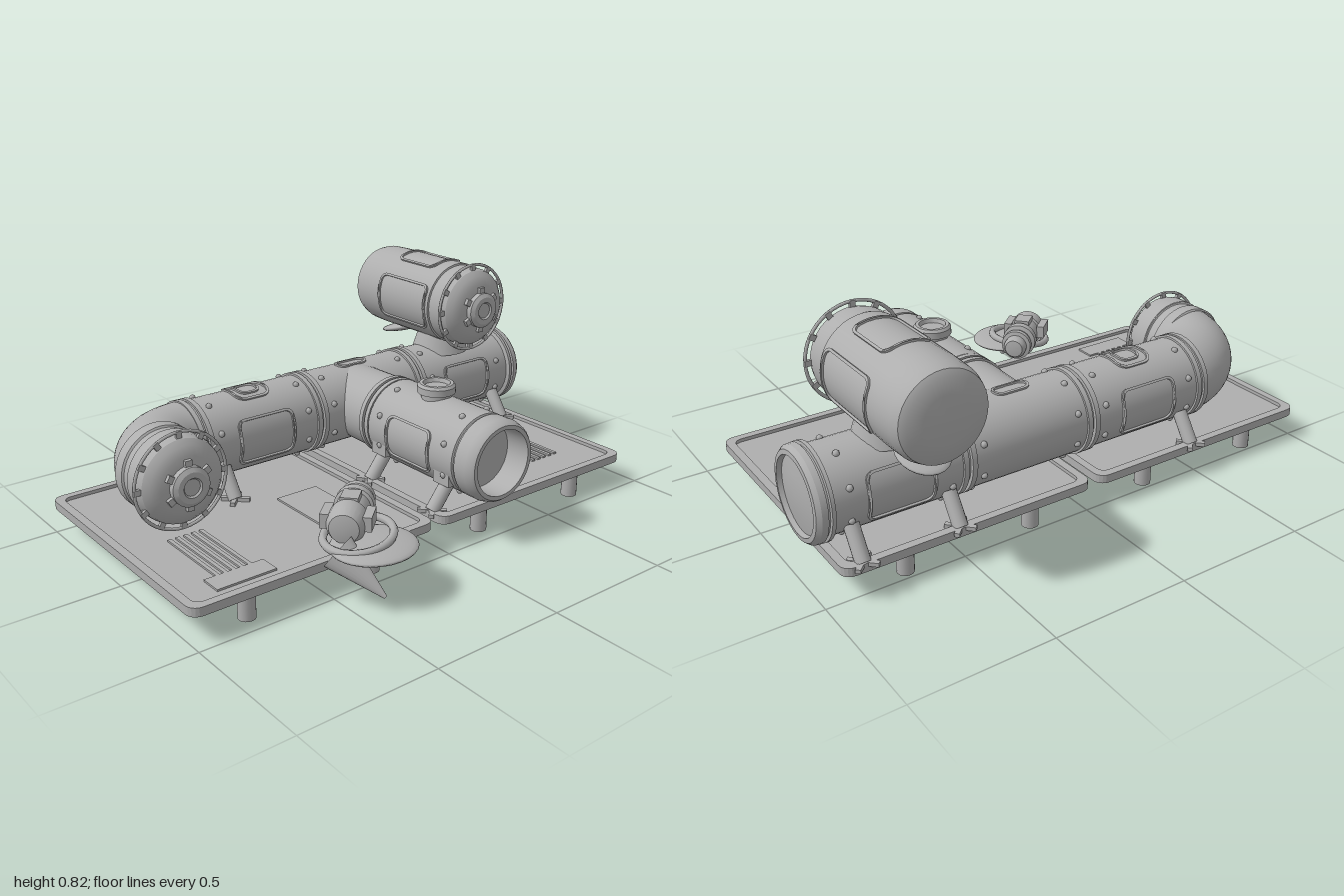
import * as THREE from 'three';
import { toCreasedNormals } from 'three/addons/utils/BufferGeometryUtils.js';

const grey = new THREE.MeshStandardMaterial({ color: 0xaeaeae, side: THREE.DoubleSide });
grey.name = 'hull grey';

function add(parent, name, geo, x = 0, y = 0, z = 0) {
  const m = new THREE.Mesh(geo, grey);
  m.name = name;
  m.position.set(x, y, z);
  parent.add(m);
  return m;
}

// Group whose local x runs along a tube; optionally turned to run along world z
function axisGroup(parent, name, x, y, z, alongZ = false) {
  const g = new THREE.Group();
  g.name = name;
  g.position.set(x, y, z);
  if (alongZ) g.rotation.y = -Math.PI / 2;
  parent.add(g);
  return g;
}

// Turned body along local x from [radius, position] pairs
function turned(profile, sides = 40) {
  const g = new THREE.LatheGeometry(profile.map(([r, t]) => new THREE.Vector2(r, t)), sides);
  return toCreasedNormals(g.rotateZ(-Math.PI / 2), 0.5);
}

// Pair of collars with a groove between
const flange = (f, r = 0.15) => [
  [r, f - 0.025], [r + 0.008, f - 0.025], [r + 0.008, f - 0.006], [r - 0.005, f - 0.006],
  [r - 0.005, f + 0.006], [r + 0.008, f + 0.006], [r + 0.008, f + 0.025], [r, f + 0.025],
];

// Rounded rectangle, sampled along its sides
function roundRect(w, h, r, Kind = THREE.Shape) {
  const pts = [], n = 8, s = [[1, -1], [1, 1], [-1, 1], [-1, -1]];
  s.forEach(([sx, sy], i) => {
    const cx = sx * (w / 2 - r), cy = sy * (h / 2 - r);
    for (let k = 0; k <= 5; k++) {
      const a = (i - 1 + k / 5) * Math.PI / 2;
      pts.push(new THREE.Vector2(cx + r * Math.cos(a), cy + r * Math.sin(a)));
    }
    const [tx, ty] = s[(i + 1) % 4], p = pts[pts.length - 1];
    const q = i % 2 ? new THREE.Vector2(p.x, ty * (h / 2 - r)) : new THREE.Vector2(tx * (w / 2 - r), p.y);
    if (i % 2) q.set(tx * (w / 2 - r), p.y); else q.set(p.x, ty * (h / 2 - r));
    for (let k = 1; k < n; k++) if (p.distanceTo(q) > 0.001) pts.push(p.clone().lerp(q, k / n));
  });
  return new Kind(pts);
}

// Raised hatch outline wrapped round a tube of radius R, centred at angle a0
function hatch(parent, R, u, a0, w, h, r = 0.03, band = 0.009) {
  const s = roundRect(w, h, r);
  s.holes.push(roundRect(w - 2 * band, h - 2 * band, r - band * 0.7, THREE.Path));
  let g = new THREE.ExtrudeGeometry(s, { depth: 0.009, bevelEnabled: false });
  const p = g.attributes.position;
  for (let i = 0; i < p.count; i++) {
    const a = a0 + p.getY(i) / R, d = R - 0.002 + p.getZ(i);
    p.setXYZ(i, u + p.getX(i), d * Math.sin(a), d * Math.cos(a));
  }
  g.computeVertexNormals();
  add(parent, 'hatchFrame', g);
}

// Ring of rivets round a tube
function rivets(parent, R, u, n = 8) {
  for (let i = 0; i < n; i++) {
    const a = (i + 0.5) * Math.PI * 2 / n;
    add(parent, 'rivet', new THREE.SphereGeometry(0.012, 8, 6), u, R * Math.sin(a), R * Math.cos(a));
  }
}

// Round bar between two points
function bar(parent, name, a, b, r0, r1 = r0, sides = 16) {
  const A = new THREE.Vector3(...a), B = new THREE.Vector3(...b), d = B.clone().sub(A);
  const m = add(parent, name, new THREE.CylinderGeometry(r1, r0, d.length(), sides));
  m.position.copy(A).add(B).multiplyScalar(0.5);
  m.quaternion.setFromUnitVectors(new THREE.Vector3(0, 1, 0), d.normalize());
  return m;
}

// Slanted strut with a four-toed foot on the deck
function strut(parent, top, foot) {
  bar(parent, 'strut', foot, top, 0.026, 0.026);
  for (let i = 0; i < 4; i++) {
    const a = Math.PI / 4 + i * Math.PI / 2;
    const toe = add(parent, 'strutToe', new THREE.BoxGeometry(0.045, 0.014, 0.018),
      foot[0] + Math.cos(a) * 0.03, foot[1] + 0.002, foot[2] - Math.sin(a) * 0.03);
    toe.rotation.y = a;
  }
}

// Domed end with knob, lugs and clipped guard ring; x = 0 is the ring
function endCap(parent, x, r) {
  const g = axisGroup(parent, 'endCap', x, 0, 0);
  add(g, 'dome', turned([[r, -0.08], [r, -0.015], [r - 0.006, 0.01], [r - 0.025, 0.03],
    [0.1, 0.044], [0.07, 0.048], [0.07, 0.07], [0.055, 0.08], [0.035, 0.08], [0.03, 0.073], [0, 0.073]]));
  add(g, 'guardRing', new THREE.TorusGeometry(r + 0.016, 0.006, 8, 48).rotateY(Math.PI / 2));
  for (let i = 0; i < 12; i++) {
    const a = i * Math.PI / 6;
    const c = add(g, 'ringClip', new THREE.BoxGeometry(0.012, 0.03, 0.02), 0, (r + 0.004) * Math.cos(a), (r + 0.004) * Math.sin(a));
    c.rotation.x = a;
    if (i % 2) continue;
    const l = add(g, 'knobLug', new THREE.BoxGeometry(0.02, 0.025, 0.025), 0.05, 0.078 * Math.cos(a), 0.078 * Math.sin(a));
    l.rotation.x = a;
  }
}

export function createModel() {
  const root = new THREE.Group();
  root.name = 'habitatBase';

  // Deck plates with a raised rim, vents and ground legs
  for (const [x, w] of [[-0.52, 0.96], [0.467, 0.945]]) {
    const deck = axisGroup(root, 'deck', x, 0, -0.025);
    const opt = { bevelEnabled: false };
    add(deck, 'deckFloor', new THREE.ExtrudeGeometry(roundRect(w, 0.99, 0.04), { ...opt, depth: 0.018 }).rotateX(-Math.PI / 2), 0, 0.095, 0);
    const rim = roundRect(w, 0.99, 0.04);
    rim.holes.push(roundRect(w - 0.06, 0.93, 0.03, THREE.Path));
    add(deck, 'deckRim', new THREE.ExtrudeGeometry(rim, { ...opt, depth: 0.015 }).rotateX(-Math.PI / 2), 0, 0.111, 0);
  }
  for (const [x, z, n] of [[-0.76, 0.17, 5], [0.69, 0.14, 5]])
    for (let i = 0; i < n; i++)
      add(root, 'ventSlat', new THREE.BoxGeometry(0.014, 0.008, 0.31), x + (i - 2) * 0.03, 0.116, z);
  add(root, 'floorPanel', new THREE.BoxGeometry(0.17, 0.008, 0.29), -0.27, 0.116, 0.115);
  add(root, 'ventBase', new THREE.BoxGeometry(0.22, 0.008, 0.08), -0.76, 0.116, 0.36);
  const legs = [[0.02, 0.04]];
  for (const x of [-0.78, -0.285, 0.215, 0.7]) for (const z of [0.42, -0.46]) legs.push([x, z]);
  for (const [x, z] of legs) bar(root, 'groundLeg', [x, 0, z], [x, 0.1, z], 0.03);

  // Main tube with collars and right-hand end plate
  const main = axisGroup(root, 'mainTube', 0, 0.3, -0.31);
  add(main, 'mainHull', turned([...flange(-0.55), ...flange(-0.05), ...flange(0.45), [0.15, 0.925],
    [0.165, 0.93], [0.165, 0.943], [0.155, 0.945], [0.155, 0.952], [0.164, 0.954], [0.162, 0.975],
    [0.15, 0.99], [0.134, 0.992], [0.13, 0.975], [0.07, 0.985], [0, 0.988]]));
  for (const x of [-0.49, -0.11, 0.01, 0.39, 0.51, 0.87]) rivets(main, 0.15, x);
  for (const x of [-0.3, 0.695])
    for (const a of [0, Math.PI]) hatch(main, 0.15, x, a, 0.24, 0.18);
  hatch(main, 0.15, -0.3, Math.PI / 2, 0.15, 0.15, 0.04);
  hatch(main, 0.15, -0.3, Math.PI / 2, 0.09, 0.09, 0.03);
  hatch(main, 0.15, 0.195, Math.PI / 2, 0.14, 0.06, 0.028);
  for (const x of [-0.475, 0.515, 0.865])
    for (const s of [1, -1]) strut(root, [x, 0.22, -0.31 + s * 0.12], [x, 0.118, -0.31 + s * 0.19]);

  // Elbow and its capped end
  class Bend extends THREE.Curve {
    getPoint(t, v = new THREE.Vector3()) {
      const a = t * Math.PI / 2;
      return v.set(-0.55 - 0.205 * Math.sin(a), 0.302 + 0.01 * t, -0.105 - 0.205 * Math.cos(a));
    }
  }
  add(root, 'elbow', new THREE.TubeGeometry(new Bend(), 20, 0.15, 40));
  const elbowEnd = axisGroup(root, 'elbowEnd', -0.755, 0.312, 0, true);
  add(elbowEnd, 'elbowCollar', turned([[0.15, -0.17], [0.157, -0.165], [0.157, -0.12], [0.15, -0.115], [0.15, -0.08], [0.158, -0.075], [0.158, -0.02]]));
  endCap(elbowEnd, 0, 0.157);

  // Branch tube with open recessed mouth and roof port
  const branch = axisGroup(root, 'branchTube', 0.195, 0.307, 0, true);
  add(branch, 'branchHull', turned([[0.142, -0.31], ...flange(-0.035, 0.145), [0.152, -0.005], [0.152, 0.45], [0.145, 0.453],
    [0.145, 0.46], [0.152, 0.463], [0.152, 0.515], [0.145, 0.54], [0.137, 0.55], [0.122, 0.55], [0.122, 0.45], [0, 0.45]]));
  for (const u of [0.05, 0.4]) rivets(branch, 0.152, u);
  for (const a of [0, Math.PI]) hatch(branch, 0.152, 0.215, a, 0.235, 0.165);
  const port = add(root, 'roofPort', turned([[0.055, 0], [0.055, 0.03], [0.07, 0.035], [0.07, 0.06], [0.062, 0.07], [0.05, 0.07], [0.045, 0.055], [0, 0.055]], 28), 0.195, 0.437, 0.2);
  port.rotation.z = Math.PI / 2;
  for (const z of [0.39, 0.045])
    for (const s of [1, -1]) {
      strut(root, [0.195 + s * 0.1, 0.22, z], [0.195 + s * 0.18, 0.118, z]);
      // Clamp block holding each strut to the hull
      add(root, 'strutClamp', new THREE.BoxGeometry(0.035, 0.05, 0.08), 0.195 + s * 0.125, 0.235, z);
    }

  // Storage tank on a saddle above the main tube
  const tank = axisGroup(root, 'tank', 0.67, 0.637, -0.125, true);
  add(tank, 'tankHull', turned([[0, -0.578], [0.08, -0.573], [0.13, -0.565], [0.15, -0.552], [0.16, -0.52],
    [0.163, -0.45], [0.163, -0.085], [0.156, -0.083], [0.156, -0.077], [0.158, -0.07]]));
  endCap(tank, 0, 0.157);
  for (const a of [0, Math.PI]) hatch(tank, 0.163, -0.245, a, 0.29, 0.19);
  hatch(tank, 0.163, -0.255, Math.PI / 2, 0.22, 0.17);
  bar(root, 'tankSaddle', [0.67, 0.42, -0.31], [0.67, 0.5, -0.31], 0.115, 0.09, 24);
  const fin = add(root, 'tankFin', new THREE.SphereGeometry(1, 24, 12), 0.67, 0.462, -0.545);
  fin.scale.set(0.085, 0.018, 0.1);
  fin.rotation.x = -0.28;

  // Small ringed pod resting on a leaf-shaped float
  const pod = axisGroup(root, 'pod', -0.38, 0.245, 0.435);
  pod.rotation.y = -2.42;
  add(pod, 'podBody', turned([[0, -0.17], [0.035, -0.165], [0.045, -0.15], [0.045, -0.13], [0.06, -0.127], [0.06, -0.105],
    [0.052, -0.1], [0.052, -0.085], [0.068, -0.08], [0.068, -0.05], [0.058, -0.045], [0.058, 0.03],
    [0.066, 0.035], [0.066, 0.09], [0.05, 0.12], [0, 0.13]], 24));
  for (const s of [1, -1]) add(pod, 'podSideBlock', new THREE.BoxGeometry(0.09, 0.05, 0.03), 0.05, 0.01, s * 0.07);
  add(pod, 'podTopBlock', new THREE.BoxGeometry(0.07, 0.02, 0.06), 0, 0.06, 0);
  const float = add(root, 'podFloat', new THREE.SphereGeometry(1, 28, 14), -0.385, 0.182, 0.56);
  float.scale.set(0.15, 0.022, 0.138);
  const loop = add(root, 'floatLoop', new THREE.TorusGeometry(0.115, 0.014, 8, 36).rotateX(Math.PI / 2), -0.405, 0.205, 0.505);
  loop.rotation.z = 0.15;
  const keel = bar(root, 'podKeel', [-0.5, 0.18, 0.52], [-0.425, 0.057, 0.67], 0.065, 0.006, 20);
  keel.scale.x = 0.5;
  return root;
}
